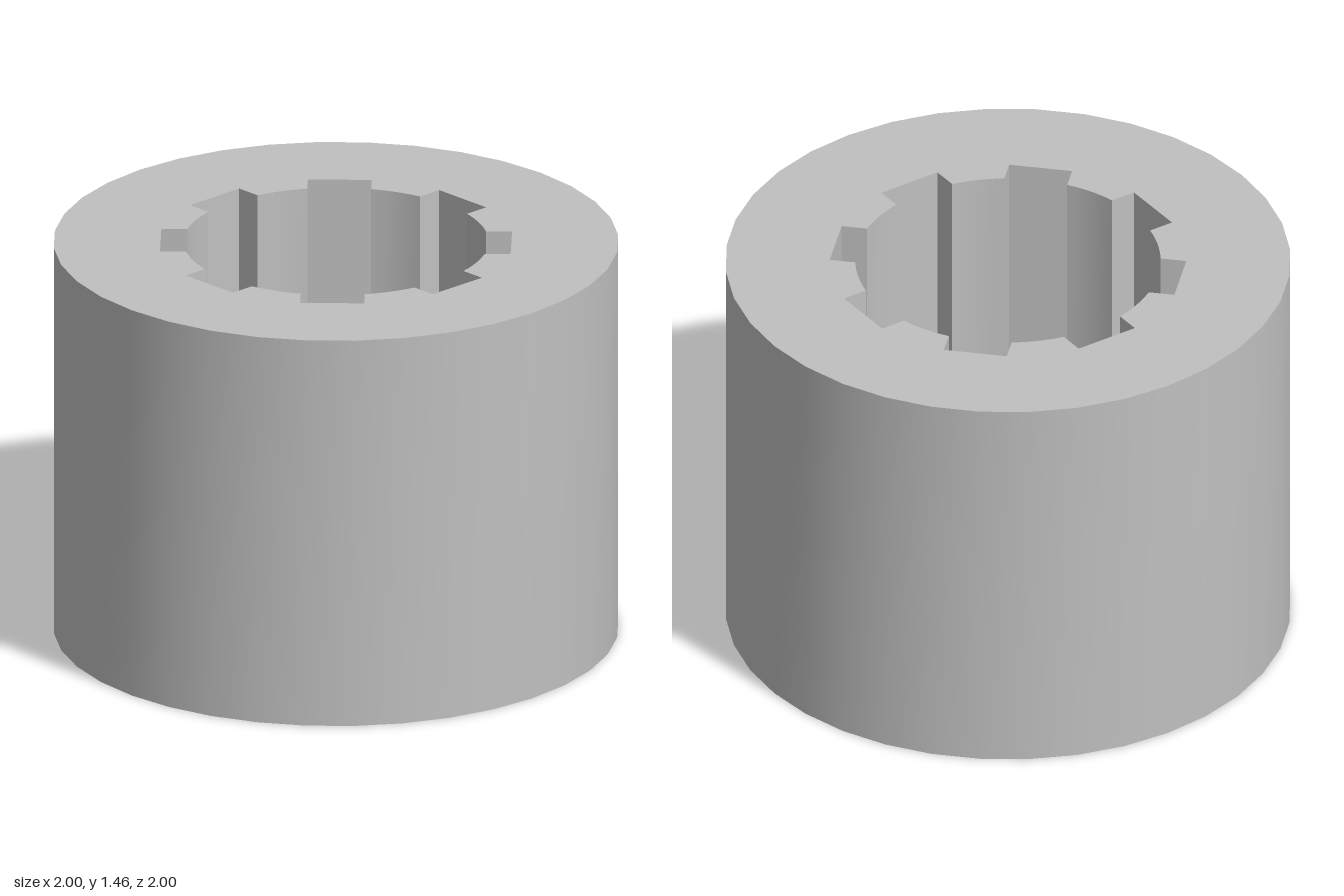
import * as THREE from 'three';
import { toCreasedNormals } from 'three/addons/utils/BufferGeometryUtils.js';

const HEIGHT = 1.455, LEDGE_Y = 0.5, FLOOR_Y = 0.2;
const OUTER_R = 1, SOCKET_R = 0.54, LOWER_R = 0.455, BORE_R = 0.187, SLOT_R = 0.62;

const polar = (r, a) => new THREE.Vector2(r * Math.cos(a), r * Math.sin(a));
const circle = (r, n) => Array.from({ length: n }, (_, i) => polar(r, (i / n) * Math.PI * 2));
const slotHalf = (k) => (k % 2 ? 0.113 : 0.12);
const slotAngle = (k) => (k * Math.PI) / 4;

// Arc of the socket between slot k and the next one
function arcBetween(r, k) {
  const a = slotAngle(k) + Math.asin(slotHalf(k) / r);
  const b = slotAngle(k + 1) - Math.asin(slotHalf(k + 1) / r);
  return Array.from({ length: 6 }, (_, i) => polar(r, a + ((b - a) * i) / 5));
}

// Round outline with eight square slots cut outward
function slottedOutline(r) {
  const pts = [];
  const origin = new THREE.Vector2();
  for (let k = 0; k < 8; k++) {
    for (const s of [-1, 1]) {
      pts.push(new THREE.Vector2(SLOT_R, s * slotHalf(k)).rotateAround(origin, slotAngle(k)));
    }
    pts.push(...arcBetween(r, k));
  }
  return pts;
}

// Upright wall along a closed outline, facing in or out
function wall(pts, y0, y1, inward) {
  const pos = [];
  pts.forEach((a, i) => {
    const b = pts[(i + 1) % pts.length];
    const [p, q] = inward ? [b, a] : [a, b];
    pos.push(p.x, y0, -p.y, q.x, y0, -q.y, q.x, y1, -q.y);
    pos.push(p.x, y0, -p.y, q.x, y1, -q.y, p.x, y1, -p.y);
  });
  const g = new THREE.BufferGeometry();
  g.setAttribute('position', new THREE.Float32BufferAttribute(pos, 3));
  return toCreasedNormals(g, 0.6);
}

// Flat face at height y, with an optional hole
function face(pts, hole, y, up = true) {
  const shape = new THREE.Shape(pts);
  if (hole) shape.holes.push(new THREE.Path(hole));
  return new THREE.ShapeGeometry(shape).rotateX(up ? -Math.PI / 2 : Math.PI / 2).translate(0, y, 0);
}

export function createModel() {
  const group = new THREE.Group();
  const grey = new THREE.MeshStandardMaterial({ color: 0xc0c0c0 });
  grey.name = 'grey metal';
  const add = (name, geometry) => {
    const mesh = new THREE.Mesh(geometry, grey);
    mesh.name = name;
    group.add(mesh);
  };

  const rim = circle(OUTER_R, 36);
  const bore = circle(BORE_R, 36);
  const upper = slottedOutline(SOCKET_R);
  const lower = slottedOutline(LOWER_R);

  // Outer body
  add('outerWall', wall(rim, 0, HEIGHT, false));
  add('topFace', face(rim, upper, HEIGHT));
  add('bottomFace', face(rim, bore, 0, false));

  // Slotted socket, narrowing below a ledge
  add('upperSocketWall', wall(upper, LEDGE_Y, HEIGHT, true));
  add('lowerSocketWall', wall(lower, FLOOR_Y, LEDGE_Y, true));
  for (let k = 0; k < 8; k++) {
    const outline = [...arcBetween(SOCKET_R, k), ...arcBetween(LOWER_R, k).reverse()];
    add('socketLedge', face(outline, null, LEDGE_Y));
  }

  // Floor and through hole
  add('socketFloor', face(lower, bore, FLOOR_Y));
  add('boreWall', wall(bore, 0, FLOOR_Y, true));
  return group;
}
